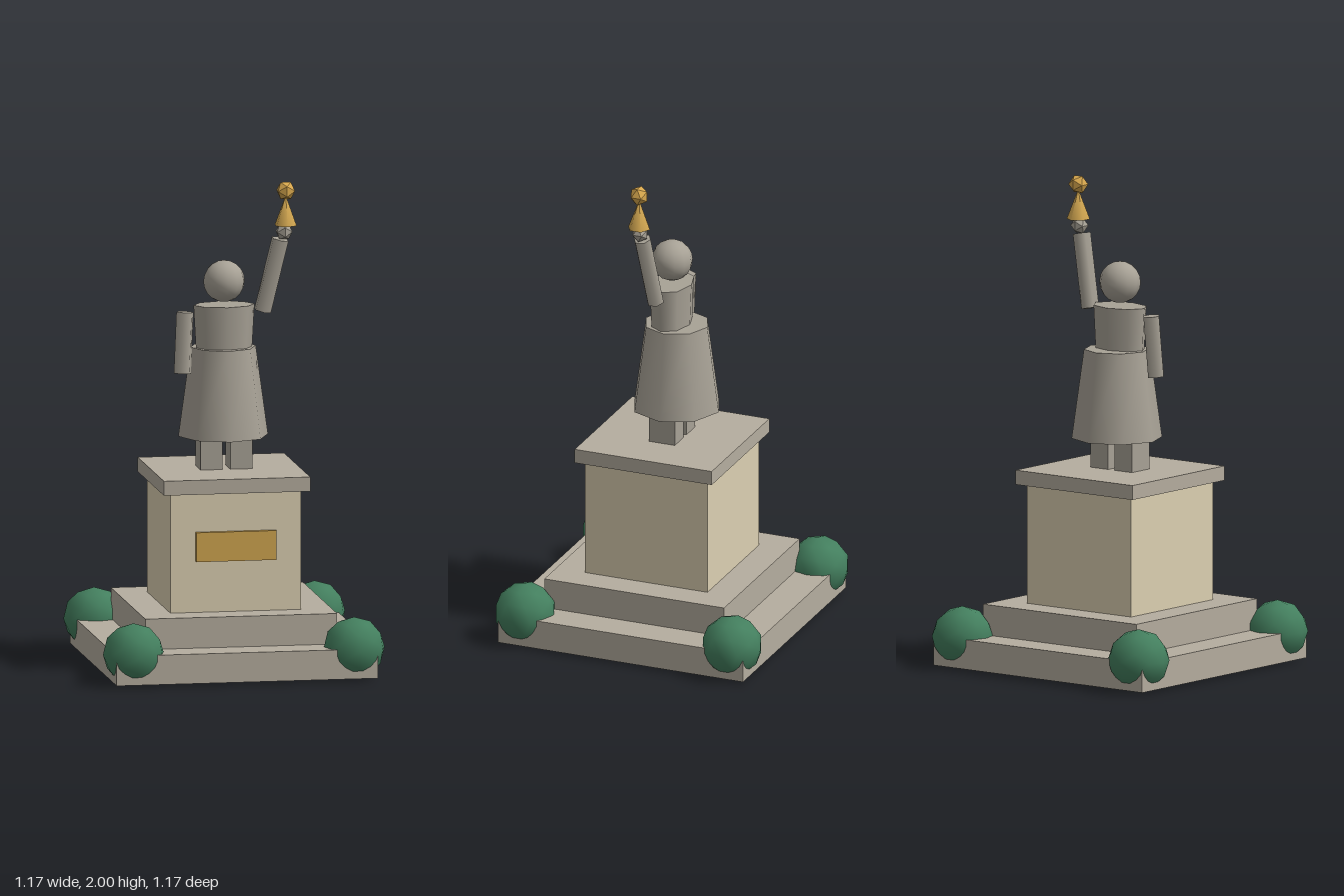
import * as THREE from 'three';

const paint = (color, flatShading = false) => new THREE.MeshStandardMaterial({ color, flatShading });

export function createModel() {
  const model = new THREE.Group();
  const stone = paint(0xb5ad9f);
  const cream = paint(0xdcd0b2);
  const statueStone = paint(0xa8a296);
  const facetedStone = paint(0xa8a296, true);
  const gold = paint(0xd0a550);
  const facetedGold = paint(0xd8a84e, true);
  const leaf = paint(0x44805f);

  const add = (name, geometry, material, x, y, z) => {
    const mesh = new THREE.Mesh(geometry, material);
    mesh.name = name;
    mesh.position.set(x, y, z);
    model.add(mesh);
    return mesh;
  };

  // Square block spanning y0 to y1
  const slab = (name, width, y0, y1, material) =>
    add(name, new THREE.BoxGeometry(width, y1 - y0, width), material, 0, (y0 + y1) / 2, 0);

  // Six-sided limb between two points
  const limb = (name, from, to, radius) => {
    const a = new THREE.Vector3(...from), b = new THREE.Vector3(...to);
    const dir = b.clone().sub(a);
    const mid = a.add(b).multiplyScalar(0.5);
    const geometry = new THREE.CylinderGeometry(radius, radius, dir.length(), 6);
    const mesh = add(name, geometry, statueStone, mid.x, mid.y, mid.z);
    mesh.quaternion.setFromUnitVectors(new THREE.Vector3(0, 1, 0), dir.normalize());
  };

  // Stepped base and pedestal
  slab('lowerStep', 1.09, 0.01, 0.133, stone);
  slab('upperStep', 0.8, 0.133, 0.26, stone);
  slab('pedestal', 0.545, 0.26, 0.755, cream);
  slab('pedestalCap', 0.61, 0.755, 0.815, stone);
  add('plaque', new THREE.BoxGeometry(0.335, 0.122, 0.03), gold, 0, 0.533, 0.275);

  // Corner bushes
  for (const x of [-0.46, 0.46]) {
    for (const z of [-0.46, 0.46]) {
      add('bush', new THREE.IcosahedronGeometry(0.127, 1), leaf, x, 0.127, z);
    }
  }

  // Statue body
  for (const side of [-1, 1]) {
    add('leg', new THREE.BoxGeometry(0.092, 0.185, 0.116), statueStone, side * 0.062, 0.9075, 0);
  }
  add('robe', new THREE.CylinderGeometry(0.136, 0.187, 0.37, 8), statueStone, 0, 1.13, -0.021);
  const torso = add('torso', new THREE.CylinderGeometry(0.127, 0.117, 0.18, 8), statueStone, 0, 1.402, 0);
  torso.scale.z = 0.68;
  add('head', new THREE.SphereGeometry(0.086, 12, 10), statueStone, 0, 1.59, 0);

  // Arms and raised hand
  limb('loweredArm', [-0.163, 1.465, 0], [-0.176, 1.213, 0.015], 0.037);
  limb('raisedArm', [0.16, 1.463, 0.006], [0.228, 1.764, 0.036], 0.037);
  add('hand', new THREE.IcosahedronGeometry(0.037, 0), facetedStone, 0.243, 1.795, 0.04);

  // Torch
  add('torchCone', new THREE.ConeGeometry(0.048, 0.125, 6), gold, 0.25, 1.883, 0.041);
  add('torchFlame', new THREE.IcosahedronGeometry(0.041, 0), facetedGold, 0.25, 1.965, 0.041);

  return model;
}
